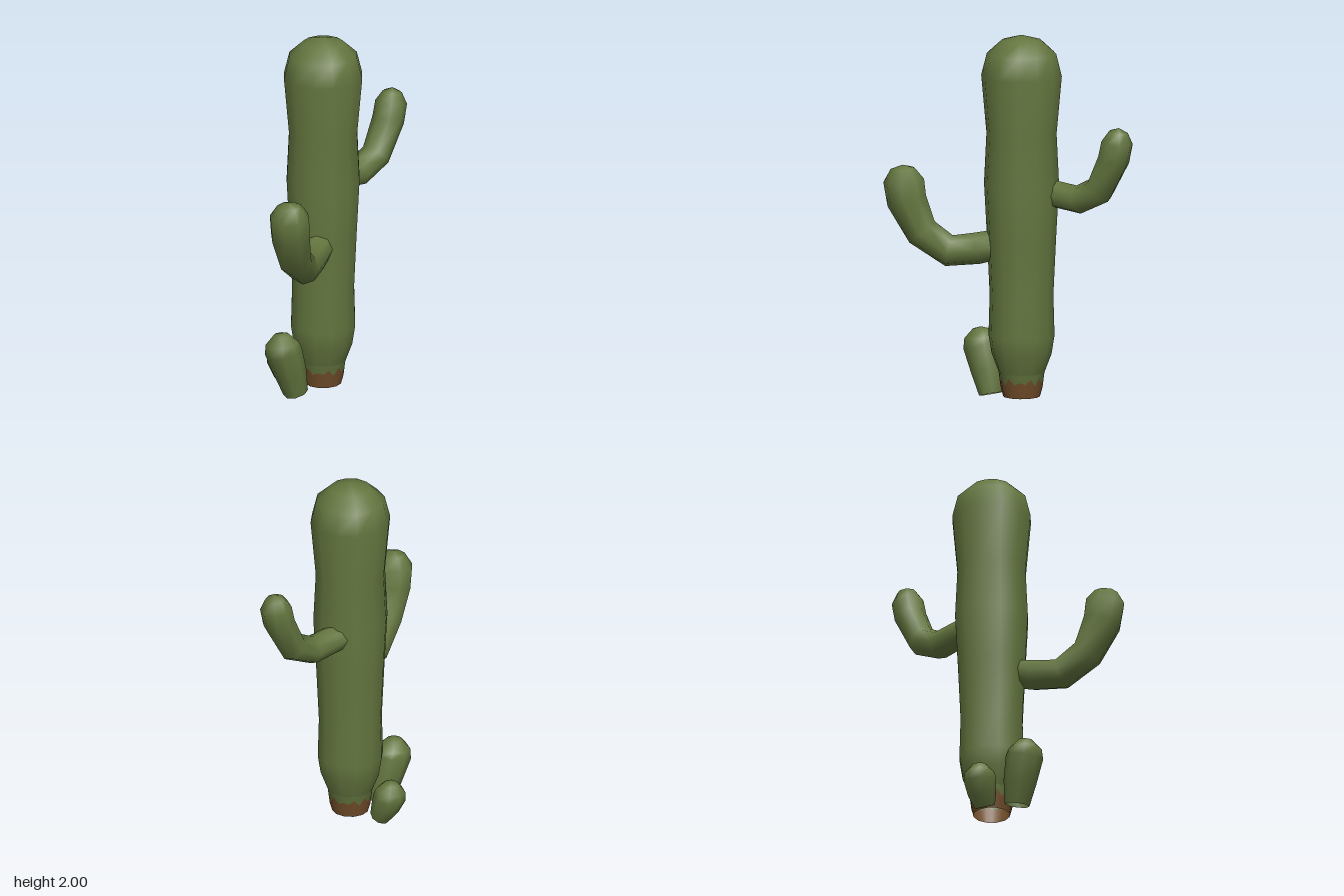
import * as THREE from 'three';

const green = new THREE.MeshStandardMaterial({ color: 0x64763f, side: THREE.DoubleSide });
green.name = 'cactusGreen';
const brown = new THREE.MeshStandardMaterial({ color: 0x75502c, side: THREE.DoubleSide });
brown.name = 'barkBrown';

const TRUNK_Z = -0.065;

function build(name, positions, index, material, normals) {
  const g = new THREE.BufferGeometry();
  g.setAttribute('position', new THREE.Float32BufferAttribute(positions, 3));
  g.setIndex(index);
  if (normals) g.setAttribute('normal', new THREE.Float32BufferAttribute(normals, 3));
  else g.computeVertexNormals();
  const mesh = new THREE.Mesh(g, material);
  mesh.name = name;
  return mesh;
}

// Joins rows of equal vertex count into quads, wrapping around
function joinRows(rows, sides) {
  const index = [];
  for (let i = 0; i < rows - 1; i++) {
    for (let j = 0; j < sides; j++) {
      const k = (j + 1) % sides;
      const a = i * sides + j, b = i * sides + k;
      index.push(a, b, b + sides, a, b + sides, a + sides);
    }
  }
  return index;
}

// Smooth limb: rings given as [x, y, z, radius], closed by a tip point [x, y, z]
function limb(name, rings, tip, side, sides = 8) {
  const centres = [...rings, tip].map(p => new THREE.Vector3(p[0], p[1], p[2]));
  const pos = [];
  rings.forEach((ring, i) => {
    const c = centres[i];
    const tangent = centres[i + 1].clone().sub(c).normalize();
    if (i > 0) tangent.add(c.clone().sub(centres[i - 1]).normalize()).normalize();
    const n = side.clone().cross(tangent).normalize();
    const b = tangent.clone().cross(n);
    for (let j = 0; j < sides; j++) {
      const a = j / sides * Math.PI * 2;
      const p = c.clone().addScaledVector(n, Math.cos(a) * ring[3]).addScaledVector(b, Math.sin(a) * ring[3]);
      pos.push(p.x, p.y, p.z);
    }
  });
  const index = joinRows(rings.length, sides);
  const last = (rings.length - 1) * sides, apex = rings.length * sides;
  pos.push(...tip);
  for (let j = 0; j < sides; j++) index.push(last + j, last + (j + 1) % sides, apex);
  return build(name, pos, index, green);
}

// Lower trunk band on the 12-sided outline; each row is a height function of the point number
function footBand(name, rows, material) {
  const count = 24, pos = [], nor = [];
  for (const row of rows) {
    for (let j = 0; j < count; j++) {
      const y = row(j), a = -j / count * Math.PI * 2;
      const r = (y < 0.1 ? 0.098 + (y - 0.05) * 0.28 : 0.112 + (y - 0.1) * 0.125)
        * (j % 2 ? Math.cos(Math.PI / 12) : 1);
      pos.push(Math.cos(a) * r, y, Math.sin(a) * r + TRUNK_Z);
      const n = new THREE.Vector3(Math.cos(a), -0.25, Math.sin(a)).normalize();
      nor.push(n.x, n.y, n.z);
    }
  }
  return build(name, pos, joinRows(rows.length, count), material, nor);
}

export function createModel() {
  const model = new THREE.Group();
  model.name = 'cactus';

  // Trunk with rounded crown
  const profile = [[0.18, 0.122], [0.28, 0.16], [0.38, 0.176], [0.6, 0.17], [0.9, 0.184],
    [1.2, 0.2], [1.47, 0.187], [1.78, 0.215], [1.9, 0.185], [1.97, 0.108]];
  model.add(limb('trunk', profile.map(([y, r]) => [0, y, TRUNK_Z, r]),
    [0, 2, TRUNK_Z], new THREE.Vector3(0, 0, 1), 12));

  // Bark foot with a jagged upper edge
  const teeth = [0.16, 0.125, 0.14, 0.13, 0.155, 0.118];
  const edge = j => teeth[j % teeth.length];
  model.add(footBand('barkFoot', [() => 0.05, () => 0.1, edge], brown));
  model.add(footBand('trunkFoot', [edge, () => 0.18], green));

  // Left arm
  model.add(limb('leftArm', [
    [0.1, 1.155, -0.13, 0.07], [0.2, 1.147, -0.13, 0.073], [0.325, 1.135, -0.13, 0.076],
    [0.46, 1.2, -0.13, 0.079], [0.553, 1.375, -0.13, 0.086], [0.575, 1.468, -0.13, 0.085],
    [0.582, 1.525, -0.13, 0.052],
  ], [0.585, 1.548, -0.13], new THREE.Vector3(0, 0, 1)));

  // Right arm, swung forward
  const armZ = x => 0.05 - (x + 0.18) * 0.5;
  model.add(limb('rightArm', [
    [-0.08, 0.875, 0.08], [-0.2, 0.845, 0.085], [-0.335, 0.828, 0.086], [-0.465, 0.925, 0.09],
    [-0.538, 1.09, 0.108], [-0.553, 1.2, 0.11], [-0.557, 1.265, 0.065],
  ].map(([x, y, r]) => [x, y, armZ(x), r]),
  [-0.558, 1.285, armZ(-0.558)], new THREE.Vector3(0.45, 0, 0.89)));

  // Two young shoots by the foot
  model.add(limb('largeShoot', [
    [-0.2, 0.04, -0.07, 0.066], [-0.232, 0.16, -0.08, 0.088], [-0.275, 0.29, -0.088, 0.1],
    [-0.283, 0.335, -0.09, 0.088], [-0.284, 0.38, -0.092, 0.045],
  ], [-0.285, 0.392, -0.092], new THREE.Vector3(0, 0, 1)));
  model.add(limb('smallShoot', [
    [-0.09, 0.025, -0.2, 0.054], [-0.1, 0.09, -0.232, 0.076], [-0.11, 0.16, -0.257, 0.087],
    [-0.112, 0.2, -0.264, 0.078], [-0.113, 0.24, -0.266, 0.042],
  ], [-0.113, 0.25, -0.267], new THREE.Vector3(1, 0, 0)));

  return model;
}
